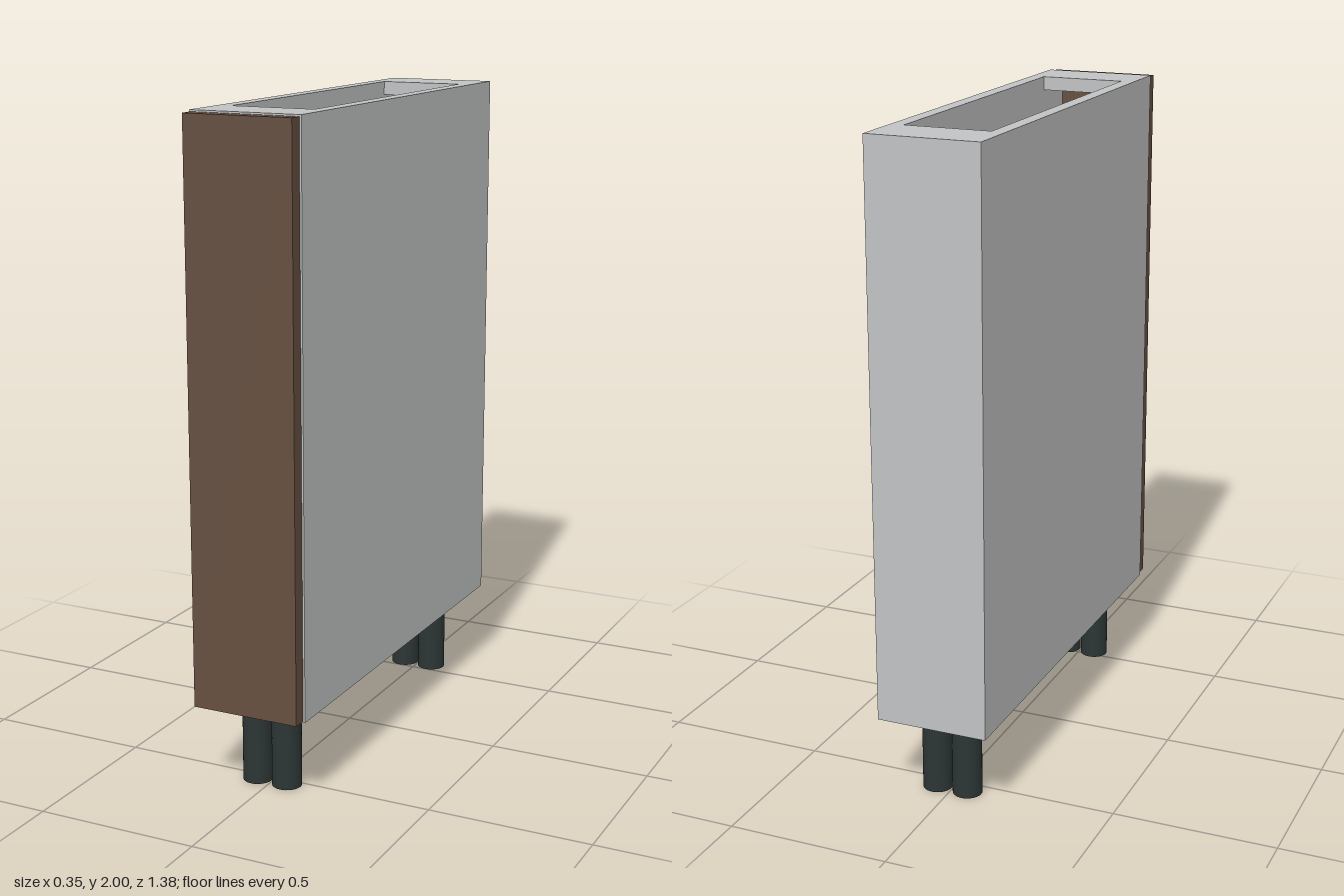
import * as THREE from 'three';

export function createModel() {
  const model = new THREE.Group();
  model.name = 'narrowBaseCabinet';

  const board = new THREE.MeshStandardMaterial({ color: 0xc2c3c4 });
  board.name = 'light grey board';
  const wood = new THREE.MeshStandardMaterial({ color: 0x665041 });
  wood.name = 'brown door';
  const plastic = new THREE.MeshStandardMaterial({ color: 0x2c3635 });
  plastic.name = 'dark leg plastic';

  // Box given by its minimum and maximum on each axis
  function box(name, material, [x0, x1], [y0, y1], [z0, z1]) {
    const mesh = new THREE.Mesh(new THREE.BoxGeometry(x1 - x0, y1 - y0, z1 - z0), material);
    mesh.position.set((x0 + x1) / 2, (y0 + y1) / 2, (z0 + z1) / 2);
    mesh.name = name;
    model.add(mesh);
  }

  const half = 0.173, inner = 0.131, thick = 0.042;
  const bottom = 0.265, top = 2, back = -0.69, front = 0.645;
  const span = [-inner, inner];

  // Carcass: bottom, back and the two top rails
  box('bottomPanel', board, span, [bottom, bottom + thick], [back, front]);
  box('backPanel', board, span, [bottom + thick, top - thick], [back, back + thick]);
  box('rearTopRail', board, span, [top - thick, top], [back, -0.525]);
  box('frontTopRail', board, span, [top - thick, top], [0.485, front]);

  // Door in front of the carcass
  box('door', wood, [-0.168, 0.168], [0.27, 1.995], [0.647, 0.69]);

  const legGeometry = new THREE.CylinderGeometry(0.045, 0.045, bottom, 32);
  for (const side of [-1, 1]) {
    const mirrored = (a, b) => (side > 0 ? [a, b] : [-b, -a]);
    const label = side > 0 ? 'left' : 'right';
    const floor = bottom + thick;

    box(label + 'SidePanel', board, mirrored(inner, half), [bottom, top], [back, front]);

    // Low pull-out runner with its rear clip
    box(label + 'RunnerBase', board, mirrored(0.093, 0.112), [floor, floor + 0.03], [-0.525, front]);
    box(label + 'RunnerRail', board, mirrored(0.083, 0.093), [floor, floor + 0.06], [-0.525, front]);
    box(label + 'RunnerClip', board, mirrored(0.073, 0.098), [floor, floor + 0.07], [-0.53, -0.505]);

    // Round legs, front and rear
    for (const [place, z] of [['Front', 0.525], ['Rear', -0.545]]) {
      const leg = new THREE.Mesh(legGeometry, plastic);
      leg.position.set(side * 0.049, bottom / 2, z);
      leg.name = label + place + 'Leg';
      model.add(leg);
    }
  }
  return model;
}
